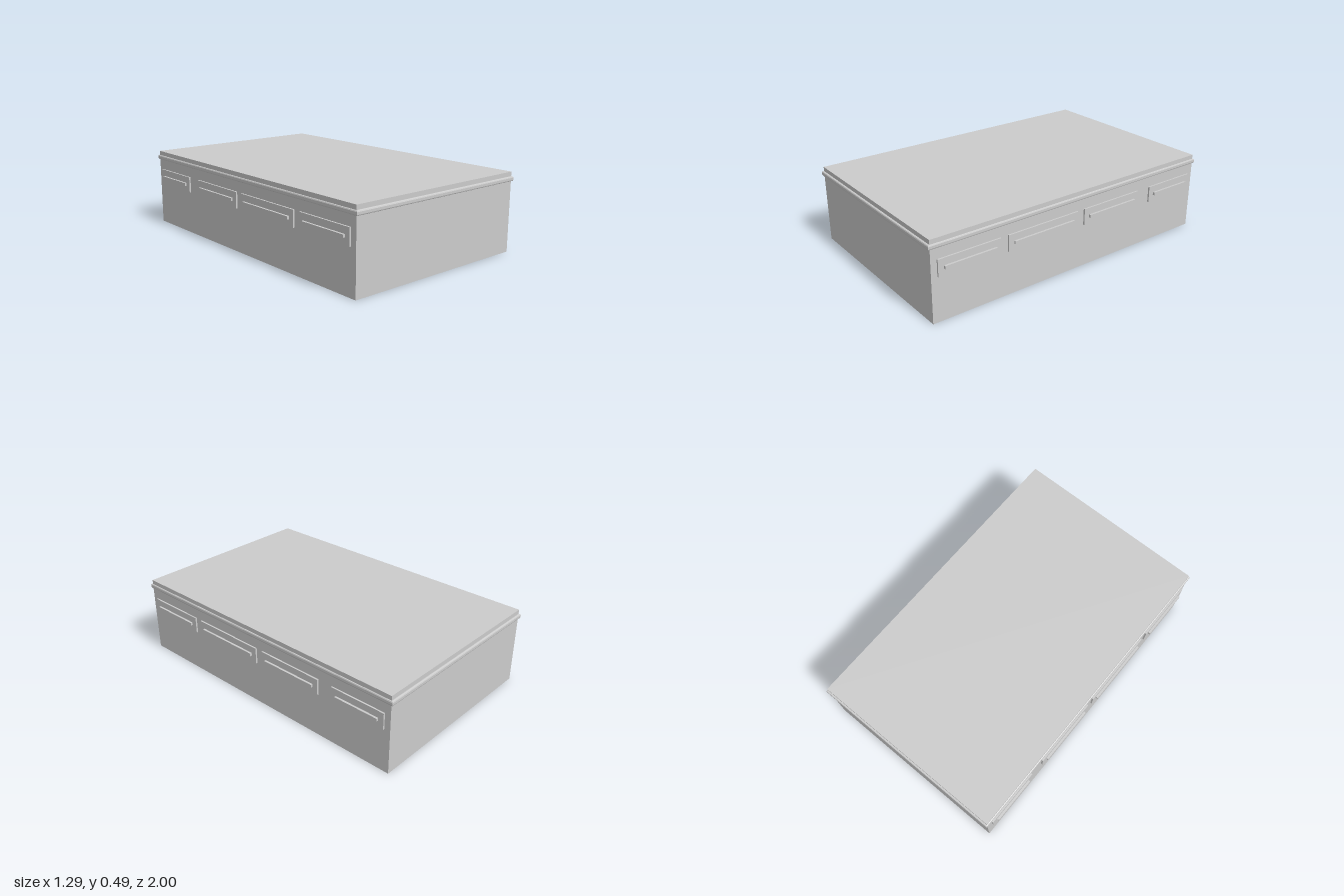
import * as THREE from 'three';

const material = new THREE.MeshStandardMaterial({ color: 0xcccccc });

// Box given by its lower and upper corner
function box(name, min, max) {
  const size = max.map((v, i) => v - min[i]);
  const mesh = new THREE.Mesh(new THREE.BoxGeometry(...size), material);
  mesh.position.set(...max.map((v, i) => (v + min[i]) / 2));
  mesh.name = name;
  return mesh;
}

// Bulging band around the rim, with bevelled upper and lower edges
function rimBand(halfX, halfZ, y0, y1, bulge) {
  const shape = new THREE.Shape([
    new THREE.Vector2(-halfX, -halfZ), new THREE.Vector2(halfX, -halfZ),
    new THREE.Vector2(halfX, halfZ), new THREE.Vector2(-halfX, halfZ),
  ]);
  const geometry = new THREE.ExtrudeGeometry(shape, {
    depth: y1 - y0 - 2 * bulge, bevelEnabled: true,
    bevelThickness: bulge, bevelSize: bulge, bevelSegments: 2,
  });
  geometry.rotateX(-Math.PI / 2);
  const mesh = new THREE.Mesh(geometry, material);
  mesh.position.y = y0 + bulge;
  mesh.name = 'rimBand';
  return mesh;
}

export function createModel() {
  const group = new THREE.Group();
  group.name = 'box';
  const X = 0.62, Z = 0.988;

  // Main body, rim band and lid
  group.add(box('body', [-X, 0, -Z], [X, 0.476, Z]));
  group.add(rimBand(X - 0.001, Z + 0.004, 0.436, 0.466, 0.008));
  group.add(box('lid', [-X, 0.476, -Z], [X, 0.493, Z]));

  // Four plates with grip bars along each long side: [back z, front z]
  const spans = [[0.55, 0.95], [0, 0.5], [-0.49, -0.05], [-0.95, -0.59]];
  for (const [side, label] of [[1, 'left'], [-1, 'right']]) {
    for (const [z0, z1] of spans) {
      const handle = new THREE.Group();
      handle.name = label + 'Handle';
      const along = (a, b) => (side > 0 ? [a, b] : [-b, -a]);
      const [p0, p1] = along(X - 0.01, 0.63);
      const [b0, b1] = along(0.625, 0.643);
      handle.add(box('plate', [p0, 0.272, z0], [p1, 0.373, z1]));
      handle.add(box('gripBar', [b0, 0.313, z0 + 0.035], [b1, 0.331, z1 - 0.035]));
      group.add(handle);
    }
  }
  return group;
}
